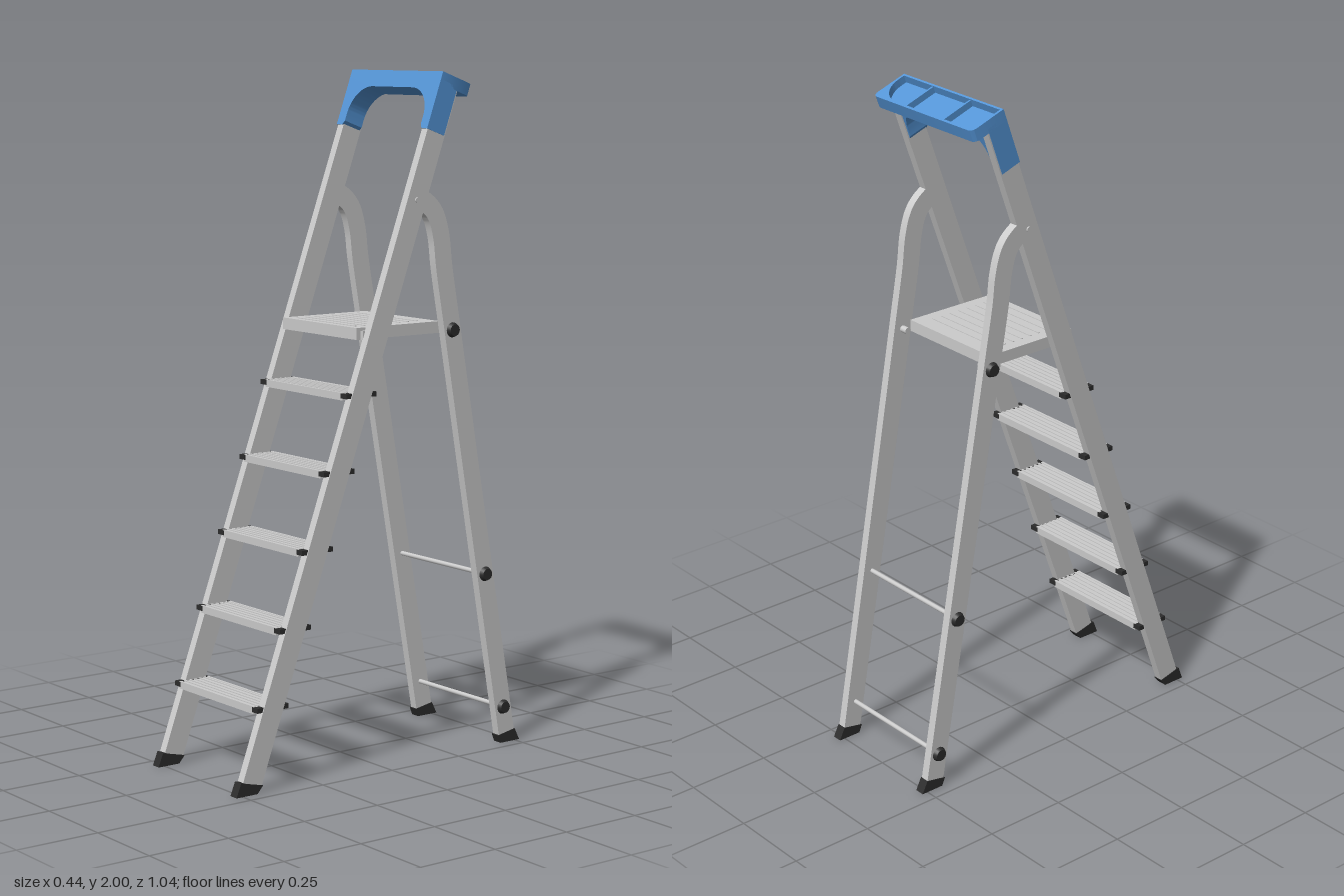
import * as THREE from 'three';
import { toCreasedNormals } from 'three/addons/utils/BufferGeometryUtils.js';

const grey = new THREE.MeshStandardMaterial({ color: 0xcccccc });
const blue = new THREE.MeshStandardMaterial({ color: 0x5596d8 });
const dark = new THREE.MeshStandardMaterial({ color: 0x2c2c2c });

const TILT = -0.347;                       // lean of the front rails
const railZ = y => 0.477 - 0.362 * y;      // centre line of the front rails
const legZ = y => -0.474 + 0.178 * y;      // centre line of the rear legs
const RAIL_X = 0.197, RAIL_W = 0.026;

function add(parent, name, geometry, material, x = 0, y = 0, z = 0) {
  const mesh = new THREE.Mesh(geometry, material);
  mesh.name = name;
  mesh.position.set(x, y, z);
  parent.add(mesh);
  return mesh;
}
// box given by its limits on each axis
function box(parent, name, [x0, x1], [y0, y1], [z0, z1], material = grey) {
  return add(parent, name, new THREE.BoxGeometry(x1 - x0, y1 - y0, z1 - z0), material,
    (x0 + x1) / 2, (y0 + y1) / 2, (z0 + z1) / 2);
}
// side profile of [z, y] points, extruded along x and centred on x = 0
function sideExtrude(points, width) {
  const shape = new THREE.Shape(points.map(p => new THREE.Vector2(p[0], p[1])));
  const g = new THREE.ExtrudeGeometry(shape, { depth: width, bevelEnabled: false });
  g.translate(0, 0, -width / 2).rotateY(-Math.PI / 2);
  return toCreasedNormals(g, 0.6);
}
function rod(radius, length, radius2 = radius, sides = 20) {
  return new THREE.CylinderGeometry(radius2, radius, length, sides).rotateZ(-Math.PI / 2);
}

// rear leg: a strip of even width along a line that hooks over at the top
function legGeometry() {
  const path = new THREE.SplineCurve([[-0.11, 1.645], [-0.148, 1.632], [-0.185, 1.595],
    [-0.206, 1.53], [legZ(1.44), 1.44], [legZ(1.3), 1.3]].map(p => new THREE.Vector2(...p)));
  const centre = [...path.getPoints(30), new THREE.Vector2(legZ(0.02), 0.02)];
  const edge = side => centre.map((p, i) => {
    const t = centre[Math.min(i + 1, centre.length - 1)].clone()
      .sub(centre[Math.max(i - 1, 0)]).normalize();
    return [p.x - t.y * side, p.y + t.x * side];
  });
  return sideExtrude([...edge(0.03), ...edge(-0.03).reverse()], RAIL_W);
}

function makeStep(y) {
  const g = new THREE.Group();
  g.name = 'step';
  g.position.set(0, y, railZ(y));
  const X = [-0.186, 0.186];
  box(g, 'tread', X, [0, 0.008], [-0.05, 0.05]);
  for (const z of [-0.034, -0.017, 0, 0.017, 0.034])
    box(g, 'treadRidge', X, [0.008, 0.0105], [z - 0.003, z + 0.003]);
  for (const z of [-0.048, 0.048])
    box(g, 'treadLip', X, [-0.012, 0.0095], [z - 0.004, z + 0.004]);
  for (let i = -2; i <= 2; i++)
    box(g, 'underRib', [i * 0.07 - 0.003, i * 0.07 + 0.003], [-0.01, 0], [-0.045, 0.045]);
  for (const s of [-1, 1]) {
    const cap = box(g, 'stepEndCap', [0.18, 0.207], [-0.006, 0.008], [-0.054, 0.054], dark);
    cap.position.x *= s;
  }
  return g;
}

function makePlatform() {
  const g = new THREE.Group();
  g.name = 'platform';
  const w = 0.176, z0 = -0.228, z1 = 0.075, y0 = 1.25, y1 = 1.284;
  box(g, 'platformTop', [-w, w], [y1 - 0.01, y1], [z0, z1]);
  for (const z of [z0, z1 - 0.01]) box(g, 'platformSkirt', [-w, w], [y0, y1 - 0.005], [z, z + 0.01]);
  for (const x of [-w, w - 0.01]) box(g, 'platformSkirt', [x, x + 0.01], [y0, y1 - 0.005], [z0, z1]);
  for (let i = 0; i < 8; i++) {
    const z = 0.05 - i * 0.032;
    box(g, 'platformRidge', [-0.14, 0.14], [y1, y1 + 0.002], [z - 0.003, z + 0.003]);
  }
  for (const s of [-1, 1])
    box(g, 'platformBracket', [s * 0.18 - 0.006, s * 0.18 + 0.006], [1.25, 1.275], [0, 0.06]);
  return g;
}

// top handle with tool tray, in the tilted frame of the rails
function makeHandle() {
  const g = new THREE.Group();
  g.name = 'handle';
  const w = 0.212, low = 1.945, floor = 2.092, top = 2.115, front = 0.037, back = -0.08;

  // arch with a sleeve over each rail
  const a = new THREE.Shape();
  const inX = 0.178, archTop = 2.065, r = 0.085;
  a.moveTo(-w, low); a.lineTo(-inX - 0.008, low); a.lineTo(-inX, low + 0.012);
  a.lineTo(-inX, archTop - r);
  a.absarc(-inX + r, archTop - r, r, Math.PI, Math.PI / 2, true);
  a.absarc(inX - r, archTop - r, r, Math.PI / 2, 0, true);
  a.lineTo(inX, low + 0.012); a.lineTo(inX + 0.008, low); a.lineTo(w, low);
  a.lineTo(w, floor); a.lineTo(-w, floor);
  const arch = new THREE.ExtrudeGeometry(a, { depth: 0.066, bevelEnabled: false, curveSegments: 14 });
  add(g, 'handleArch', toCreasedNormals(arch, 0.5), blue, 0, 0, -0.029);

  // plate outline with rounded back corners
  const outline = (Type, hw, f, b, rad) => {
    const s = new Type();
    s.moveTo(-hw, -f); s.lineTo(hw, -f); s.lineTo(hw, -b - rad);
    s.absarc(hw - rad, -b - rad, rad, 0, Math.PI / 2, false);
    s.absarc(-hw + rad, -b - rad, rad, Math.PI / 2, Math.PI, false);
    s.lineTo(-hw, -f);
    return s;
  };
  const plate = (shape, y0, y1) => toCreasedNormals(new THREE.ExtrudeGeometry(shape,
    { depth: y1 - y0, bevelEnabled: false, curveSegments: 12 }).rotateX(-Math.PI / 2).translate(0, y0, 0), 0.5);
  add(g, 'trayFloor', plate(outline(THREE.Shape, w - 0.004, front - 0.004, back + 0.004, 0.015), 2.08, floor + 0.001), blue);
  const rim = outline(THREE.Shape, w, front, back, 0.018);
  rim.holes.push(outline(THREE.Path, w - 0.008, front - 0.007, back + 0.008, 0.085));
  add(g, 'trayRim', plate(rim, 2.079, top), blue);
  for (const x of [-0.08, 0.08])
    box(g, 'trayDivider', [x - 0.003, x + 0.003], [floor, top - 0.003], [back + 0.004, front - 0.004], blue);
  return g;
}

export function createModel() {
  const model = new THREE.Group();
  model.name = 'stepladder';

  // leaning frame: rails and handle
  const frame = new THREE.Group();
  frame.name = 'frontFrame';
  frame.position.z = 0.477;
  frame.rotation.x = TILT;
  frame.add(makeHandle());
  model.add(frame);

  const leg = legGeometry();
  const frontFoot = sideExtrude([[0.522, 0], [0.45, 0], [0.431, 0.022], [0.506, 0.04]], 0.03);
  const rearFoot = sideExtrude([[-0.445, 0], [-0.518, 0], [-0.5, 0.036], [-0.435, 0.024]], 0.03);
  const joints = [1.26, 0.525, 0.11];

  for (const s of [-1, 1]) {
    const x = s * RAIL_X;
    box(frame, 'frontRail', [x - RAIL_W / 2, x + RAIL_W / 2], [0.03, 2.08], [-0.033, 0.033]);
    add(model, 'rearLeg', leg, grey, x);
    add(model, 'frontFoot', frontFoot, dark, x);
    add(model, 'rearFoot', rearFoot, dark, x);
    add(model, 'hingeRivet', rod(0.008, 0.006), grey, s * 0.211, 1.64, railZ(1.64));
    for (const y of joints) {
      const knob = add(model, 'legKnob', rod(0.023, 0.014, 0.017), dark, s * 0.215, y, legZ(y));
      if (s < 0) knob.rotation.y = Math.PI;
    }
    add(model, 'platformPin', rod(0.01, 0.05), grey, s * 0.185, joints[0], legZ(joints[0]));
  }

  // cross bars between the rear legs
  for (const y of joints.slice(1))
    add(model, 'rearCrossBar', rod(0.007, 0.38, 0.007, 12), grey, 0, y, legZ(y));

  for (let i = 0; i < 5; i++) model.add(makeStep(0.235 + i * 0.215));
  model.add(makePlatform());
  return model;
}
